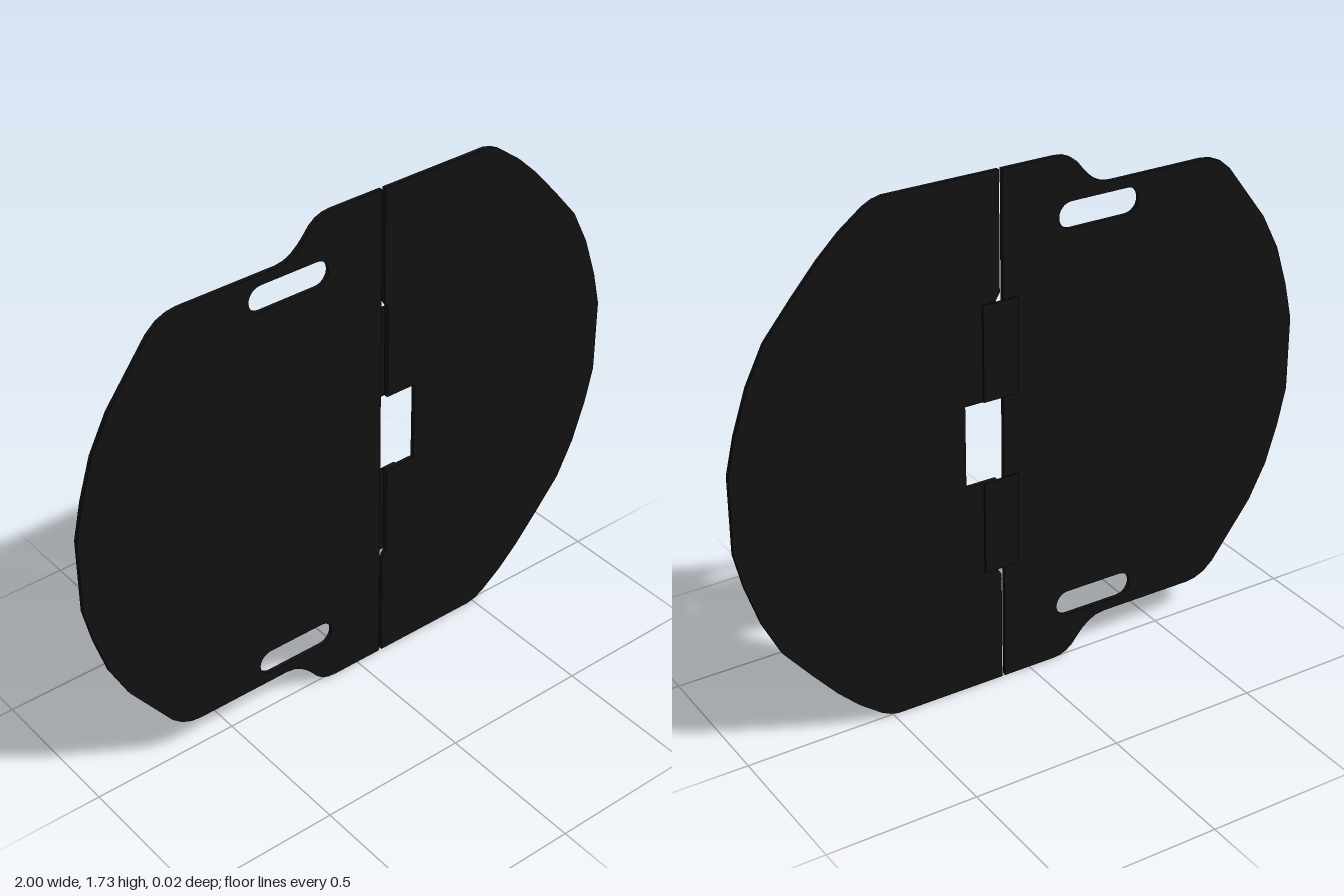
import * as THREE from 'three';

const H = 1.725;                       // overall height
const FRONT = 0.01, MID = -0.004, BACK = -0.01;

export function createModel() {
  const group = new THREE.Group();
  const material = new THREE.MeshStandardMaterial({ color: 0x111111 });

  // Extrude a flat outline between two depths
  const addPlate = (name, shape, z0, z1) => {
    const geometry = new THREE.ExtrudeGeometry(shape, { depth: z1 - z0, bevelEnabled: false, curveSegments: 8 });
    geometry.translate(0, 0, z0);
    const mesh = new THREE.Mesh(geometry, material);
    mesh.name = name;
    group.add(mesh);
  };

  // Upper half of an outline, followed by its mirror about mid height
  const mirrored = (points) => new THREE.Shape([
    ...points.map(([x, y]) => new THREE.Vector2(x, y)),
    ...points.slice().reverse().map(([x, y]) => new THREE.Vector2(x, H - y)),
  ]);

  // Rounded hand slot
  const slot = (y) => {
    const r = 0.043, path = new THREE.Path();
    path.absarc(-0.147, y, r, -Math.PI / 2, Math.PI / 2, false);
    path.absarc(-0.345, y, r, Math.PI / 2, Math.PI * 1.5, false);
    path.closePath();
    return path;
  };

  // Left-hand side of the front: stepped panel with two slots
  const slottedPanel = mirrored([
    [0.091, H], [-0.09, H], [-0.118, 1.722], [-0.143, 1.712], [-0.165, 1.695],
    [-0.185, 1.67], [-0.205, 1.648], [-0.228, 1.629], [-0.255, 1.615], [-0.285, 1.61],
    [-0.62, 1.61], [-0.655, 1.605], [-0.69, 1.59], [-0.725, 1.56],
    [-0.868, 1.37], [-0.93, 1.25], [-0.972, 1.115], [-1, 0.99],
  ]);
  slottedPanel.holes.push(slot(1.532), slot(H - 1.532));
  addPlate('slottedPanel', slottedPanel, MID, FRONT);

  // Other side: plain panel with a window notch and hinge reliefs
  const plainPanel = mirrored([
    [0.225, 1.0], [0.116, 1.0], [0.116, 1.32], [0.102, 1.343], [0.102, H],
    [0.48, H], [0.51, 1.718], [0.54, 1.703], [0.617, 1.645], [0.69, 1.575],
    [0.775, 1.478], [0.865, 1.37], [0.925, 1.25], [0.972, 1.11], [1, 0.99],
  ]);
  addPlate('plainPanel', plainPanel, MID, FRONT);

  // Two hinge straps behind the joint
  for (const [name, y0] of [['upperHingeStrap', 1.0], ['lowerHingeStrap', H - 1.317]]) {
    const strap = new THREE.Shape([[0.042, y0], [0.163, y0], [0.163, y0 + 0.317], [0.042, y0 + 0.317]]
      .map(([x, y]) => new THREE.Vector2(x, y)));
    addPlate(name, strap, BACK, MID);
  }
  return group;
}
